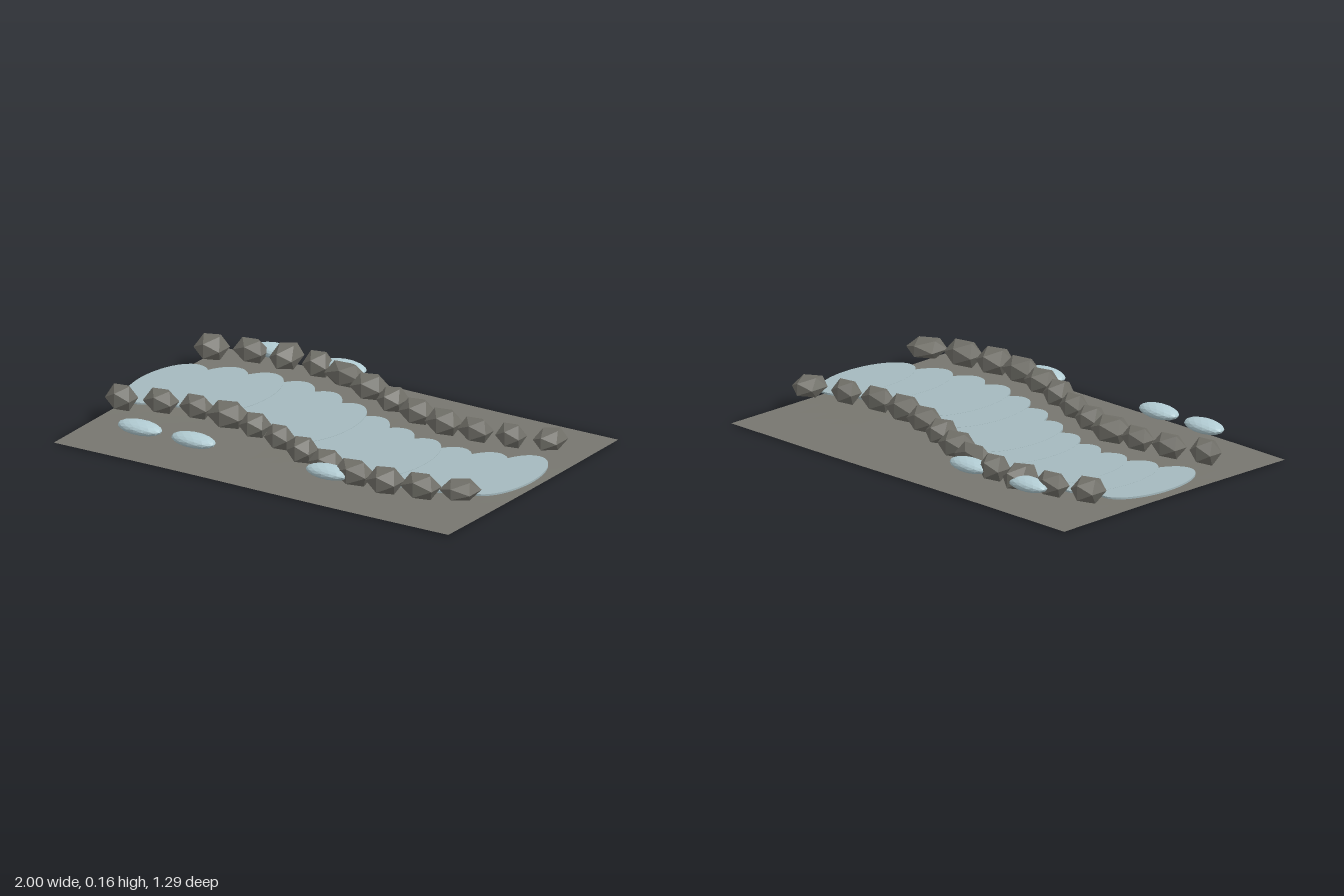
import * as THREE from 'three';

const mat = (name, color, extra = {}) => {
  const m = new THREE.MeshStandardMaterial({ color, flatShading: true, ...extra });
  m.name = name;
  return m;
};

export function createModel() {
  const group = new THREE.Group();
  group.name = 'frozenStream';

  const soil = mat('soilGrey', 0x77766f, { side: THREE.DoubleSide });
  const stone = mat('stoneGrey', 0x706f68);
  const water = mat('iceBlue', 0xa4b9be);
  const frost = mat('paleFrost', 0xb2ccd3);

  const add = (name, geometry, material, x, y, z, sx = 1, sy = 1, sz = 1) => {
    const mesh = new THREE.Mesh(geometry, material);
    mesh.name = name;
    mesh.position.set(x, y, z);
    mesh.scale.set(sx, sy, sz);
    group.add(mesh);
  };

  // Ground: a thin, gently rippled sheet
  const ground = new THREE.PlaneGeometry(1.94, 1.29, 20, 14).rotateX(-Math.PI / 2);
  const p = ground.attributes.position;
  for (let i = 0; i < p.count; i++) {
    p.setY(i, 0.007 + 0.004 * Math.sin(p.getX(i) * 4) * Math.cos(p.getZ(i) * 3));
  }
  ground.computeVertexNormals();
  add('ground', ground, soil, 0, 0, 0);

  // Stream: overlapping flat ellipses along a winding centre line
  const count = 12;
  const stationX = (i) => -0.873 + i * 0.1585;
  const centreZ = [-0.062, -0.12, -0.143, -0.136, -0.098, -0.04, 0.03, 0.087, 0.13, 0.14, 0.11, 0.052];
  const disc = new THREE.CylinderGeometry(1, 1, 0.008, 48);
  for (let i = 0; i < count; i++) {
    add('streamSection', disc, water, stationX(i), 0.054 + (i % 3) * 0.0008, centreZ[i], 0.127, 1, 0.252);
  }

  // Bank stones: [z, half width, half depth, half height] for each station
  const backBank = [
    [-0.405, 0.063, 0.068, 0.052], [-0.46, 0.07, 0.055, 0.05], [-0.485, 0.055, 0.08, 0.052],
    [-0.48, 0.058, 0.06, 0.054], [-0.44, 0.085, 0.05, 0.052], [-0.38, 0.073, 0.066, 0.052],
    [-0.31, 0.055, 0.066, 0.05], [-0.25, 0.069, 0.06, 0.052], [-0.21, 0.072, 0.06, 0.054],
    [-0.205, 0.07, 0.052, 0.05], [-0.23, 0.058, 0.052, 0.05], [-0.285, 0.058, 0.075, 0.042],
  ];
  const frontBank = [
    [0.28, 0.06, 0.056, 0.054], [0.225, 0.068, 0.056, 0.05], [0.2, 0.066, 0.052, 0.05],
    [0.205, 0.08, 0.07, 0.054], [0.245, 0.058, 0.06, 0.05], [0.305, 0.056, 0.052, 0.052],
    [0.375, 0.055, 0.062, 0.054], [0.435, 0.068, 0.062, 0.05], [0.475, 0.08, 0.06, 0.053],
    [0.48, 0.07, 0.07, 0.054], [0.455, 0.077, 0.062, 0.053], [0.4, 0.075, 0.075, 0.038],
  ];
  const rock = new THREE.IcosahedronGeometry(1 / 0.8507, 0);
  for (const bank of [backBank, frontBank]) {
    bank.forEach(([z, w, d, h], i) => add('bankStone', rock, stone, stationX(i), 0.108, z, w, h, d));
  }

  // Frost patches beside the banks
  const patch = new THREE.IcosahedronGeometry(1, 2);
  for (const [x, z] of [[-0.635, -0.52], [-0.295, -0.52], [-0.63, 0.515], [-0.367, 0.515], [0.295, 0.515]]) {
    add('frostPatch', patch, frost, x, 0.103, z, 0.104, 0.029, 0.055);
  }
  return group;
}
